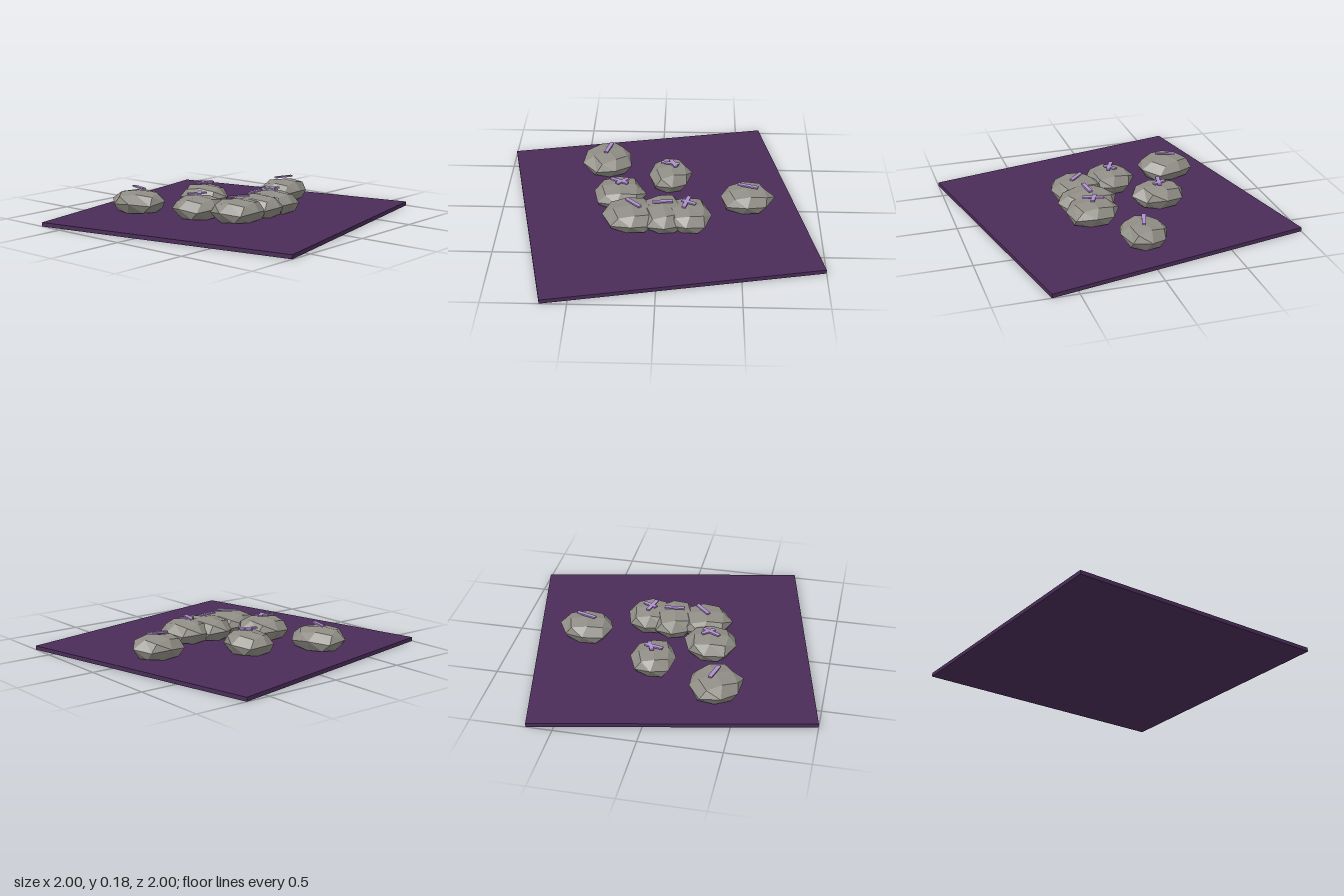
import * as THREE from 'three';

const clothMat = new THREE.MeshStandardMaterial({ color: 0x4a2c58 });
clothMat.name = 'purpleCloth';
const stoneMat = new THREE.MeshStandardMaterial({ color: 0x8f8d85 });
stoneMat.name = 'greyStone';
stoneMat.flatShading = true;
const markMat = new THREE.MeshStandardMaterial({ color: 0xb08fd2 });
markMat.name = 'lilacMark';

const CORNERS = 8;

// Each stone: centre, radii, turn of its first corner, and strokes as [x1, z1, x2, z2]
const stones = [
  { x: -0.02, z: -0.548, rx: 0.147, rz: 0.172, turn: 0,
    strokes: [[0, -0.615, -0.04, -0.49]] },
  { x: 0.19, z: -0.175, rx: 0.168, rz: 0.155, turn: 0.05,
    strokes: [[0.2, -0.225, 0.16, -0.14], [0.115, -0.185, 0.24, -0.15]] },
  { x: 0.18, z: -0.02, rx: 0.193, rz: 0.15, turn: -0.1,
    strokes: [[0.17, -0.085, 0.183, 0.042]] },
  { x: 0.197, z: 0.175, rx: 0.168, rz: 0.175, turn: -0.05,
    strokes: [[0.15, 0.205, 0.24, 0.115]] },
  { x: -0.05, z: 0.257, rx: 0.163, rz: 0.168, turn: 0.1,
    strokes: [[-0.03, 0.205, -0.085, 0.315], [-0.085, 0.205, -0.025, 0.275]] },
  { x: -0.468, z: 0.36, rx: 0.183, rz: 0.166, turn: -0.37,
    strokes: [[-0.535, 0.335, -0.41, 0.37]] },
  { x: -0.28, z: -0.058, rx: 0.173, rz: 0.142, turn: -0.1,
    strokes: [[-0.272, -0.115, -0.295, 0], [-0.325, -0.06, -0.24, -0.095]] },
];

// Faceted pebble: uneven girdle, with twisted and narrower rings above and below
function stoneGeometry({ x, z, rx, rz, turn }) {
  const ring = (twist, evenScale, oddScale, evenY, oddY) =>
    Array.from({ length: CORNERS }, (_, i) => {
      const a = turn + ((i + twist) / CORNERS) * Math.PI * 2;
      const s = (i % 2 ? oddScale : evenScale) * (1 + 0.04 * Math.sin(i * 2.4 + x * 20));
      return [x + rx * s * Math.cos(a), i % 2 ? oddY : evenY, z + rz * s * Math.sin(a)];
    });
  const mid = ring(0, 1, 1, 0.096, 0.08);
  const top = ring(0.75, 0.82, 0.64, 0.132, 0.147);
  const bottom = ring(0.3, 0.7, 0.84, 0.026, 0.036);
  const apex = [x, 0.16, z];
  const base = [x, 0.024, z];
  const v = [];
  for (let i = 0; i < CORNERS; i++) {
    const j = (i + 1) % CORNERS;
    v.push(...apex, ...top[j], ...top[i]);
    v.push(...mid[i], ...top[i], ...mid[j]);
    v.push(...top[i], ...top[j], ...mid[j]);
    v.push(...mid[i], ...mid[j], ...bottom[i]);
    v.push(...bottom[i], ...mid[j], ...bottom[j]);
    v.push(...base, ...bottom[i], ...bottom[j]);
  }
  const g = new THREE.BufferGeometry();
  g.setAttribute('position', new THREE.Float32BufferAttribute(v, 3));
  g.computeVertexNormals();
  return g;
}

// Thin bar between two points, held just above the stone
function strokeMesh([x1, z1, x2, z2]) {
  const bar = new THREE.Mesh(
    new THREE.BoxGeometry(Math.hypot(x2 - x1, z2 - z1), 0.0095, 0.025), markMat);
  bar.position.set((x1 + x2) / 2, 0.174, (z1 + z2) / 2);
  bar.rotation.y = -Math.atan2(z2 - z1, x2 - x1);
  bar.name = 'markStroke';
  return bar;
}

export function createModel() {
  const model = new THREE.Group();
  model.name = 'markedStonesOnCloth';

  // Square cloth, turned slightly
  const cloth = new THREE.Mesh(new THREE.BoxGeometry(1.694, 0.025, 1.694), clothMat);
  cloth.position.y = 0.0125;
  cloth.rotation.y = 0.202;
  cloth.name = 'cloth';
  model.add(cloth);

  // Scattered stones with their marks
  for (const spec of stones) {
    const group = new THREE.Group();
    group.name = 'markedStone';
    const stone = new THREE.Mesh(stoneGeometry(spec), stoneMat);
    stone.name = 'stone';
    group.add(stone, ...spec.strokes.map(strokeMesh));
    model.add(group);
  }
  return model;
}
